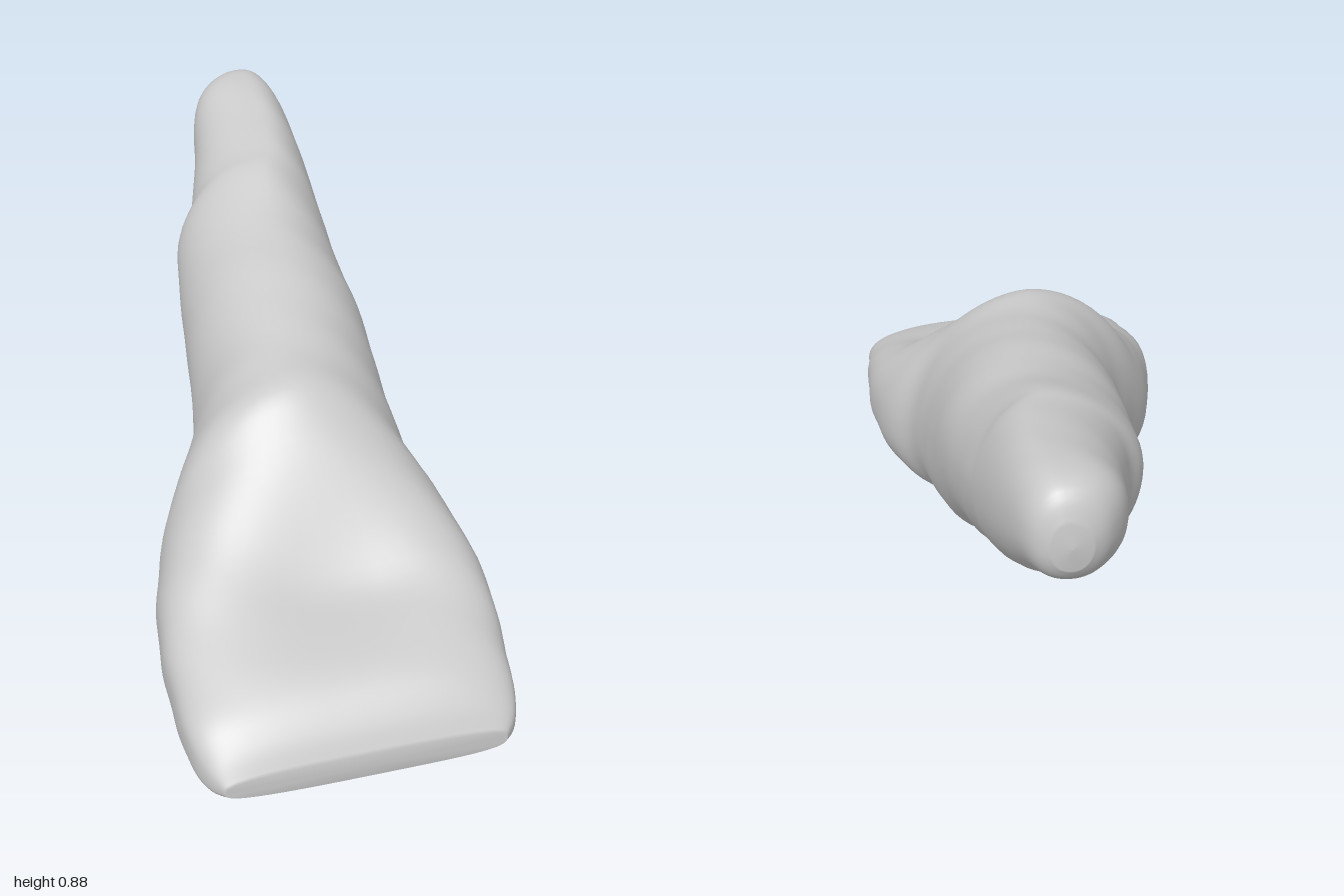
import * as THREE from 'three';

// Cross-sections from the broad front to the narrow rear:
// z, xMin, xMax, yMin, yMax, height of the widest line (0-1), roundness of the upper half
const SECTIONS = [
  [1.00, -0.31, 0.33, 0.10, 0.165, 0.5, 3.0],
  [0.96, -0.345, 0.36, 0.065, 0.225, 0.5, 3.0],
  [0.89, -0.375, 0.37, 0.05, 0.28, 0.5, 3.0],
  [0.75, -0.39, 0.38, 0.025, 0.34, 0.5, 2.9],
  [0.62, -0.39, 0.39, 0.01, 0.405, 0.5, 2.8],
  [0.50, -0.38, 0.38, 0.003, 0.49, 0.45, 2.3],
  [0.38, -0.355, 0.35, 0.01, 0.59, 0.4, 1.95],
  [0.29, -0.32, 0.305, 0.022, 0.665, 0.4, 1.85],
  [0.18, -0.26, 0.288, 0.042, 0.68, 0.42, 2.0],
  [0.04, -0.21, 0.277, 0.085, 0.705, 0.45, 2.05],
  [-0.15, -0.187, 0.268, 0.195, 0.745, 0.5, 2.05],
  [-0.32, -0.175, 0.252, 0.275, 0.775, 0.5, 1.95],
  [-0.48, -0.155, 0.243, 0.36, 0.825, 0.5, 1.8],
  [-0.57, -0.105, 0.237, 0.41, 0.84, 0.5, 2.0],
  [-0.75, -0.06, 0.222, 0.525, 0.868, 0.5, 2.2],
  [-0.89, -0.035, 0.202, 0.615, 0.885, 0.5, 2.3],
  [-0.965, 0.01, 0.178, 0.66, 0.87, 0.5, 2.2],
  [-0.995, 0.055, 0.14, 0.70, 0.81, 0.5, 2.0],
];

// Catmull-Rom blend of every section value
function sectionAt(t) {
  const last = SECTIONS.length - 1;
  const i = Math.min(Math.floor(t), last - 1);
  const f = t - i;
  const row = (k) => SECTIONS[THREE.MathUtils.clamp(k, 0, last)];
  return SECTIONS[0].map((_, c) => {
    const a = row(i - 1)[c], b = row(i)[c], d = row(i + 1)[c], e = row(i + 2)[c];
    return b + 0.5 * f * (d - a + f * (2 * a - 5 * b + 4 * d - e + f * (3 * (b - d) + e - a)));
  });
}

const bump = (z, centre, width) => Math.exp(-(((z - centre) / width) ** 2));

// One closed superellipse ring; shrink 0 closes an end
function ring([z, x0, x1, y0, y1, wide, upper], n, shrink = 1) {
  const points = [];
  const cx = (x0 + x1) / 2, rx = (x1 - x0) / 2;
  const cy = y0 + (y1 - y0) * wide;
  const front = THREE.MathUtils.smoothstep(z, -0.1, 0.5);
  const lower = 2.15 + 0.3 * front + 0.9 * THREE.MathUtils.smoothstep(z, 0.5, 0.95);
  // The ridge leans slightly left in the middle and right towards the rear
  const ridge = 0.04 * bump(z, -0.6, 0.35) - 0.012 * bump(z, 0.1, 0.2);
  // Shallow saddle across the top of the toe
  const saddle = 0.06 * bump(z, 0.62, 0.15);
  for (let j = 0; j < n; j++) {
    const a = (j / n) * Math.PI * 2;
    const c = Math.cos(a), s = Math.sin(a);
    const power = 2 / (s > 0 ? upper : lower);
    const u = Math.sign(c) * Math.abs(c) ** power;
    const v = Math.sign(s) * Math.abs(s) ** power;
    // The sole sags to the right
    const lean = v * (s > 0 ? ridge : -0.09 * front);
    const lump = 1 + 0.008 * Math.sin(z * 27 + a * 3) * Math.sin(a * 2 + z * 11);
    const x = cx + (u * rx + lean * (1 - Math.abs(u))) * shrink * lump;
    const dip = s > 0 ? saddle * v * bump(u, 0.1, 0.6) : 0;
    const y = cy + (v * (s > 0 ? y1 - cy : cy - y0) * lump - dip) * shrink;
    // The front edge is oblique, with its left end furthest forward
    const skew = -0.06 * THREE.MathUtils.smoothstep(z, 0.7, 1) * Math.max(x + 0.31, 0);
    points.push(x, Math.max(y, 0), z + skew);
  }
  return points;
}

function loft(n, steps) {
  const last = SECTIONS.length - 1;
  const rings = [ring(SECTIONS[0], n, 0)];
  for (let i = 0; i <= steps; i++) rings.push(ring(sectionAt((i / steps) * last), n));
  rings.push(ring([-1, ...SECTIONS[last].slice(1)], n, 0));

  const index = [];
  for (let i = 0; i < rings.length - 1; i++) {
    for (let j = 0; j < n; j++) {
      const a = i * n + j, b = i * n + ((j + 1) % n);
      index.push(a, a + n, b, b, a + n, b + n);
    }
  }
  const geometry = new THREE.BufferGeometry();
  geometry.setAttribute('position', new THREE.Float32BufferAttribute(rings.flat(), 3));
  geometry.setIndex(index);
  geometry.computeVertexNormals();
  return geometry;
}

export function createModel() {
  const group = new THREE.Group();
  group.name = 'taperedForm';
  const material = new THREE.MeshStandardMaterial({ color: 0xcccccc });
  // Broad flat toe rising into a long tapering shank
  const body = new THREE.Mesh(loft(64, 85), material);
  body.name = 'toeAndShank';
  group.add(body);
  return group;
}
